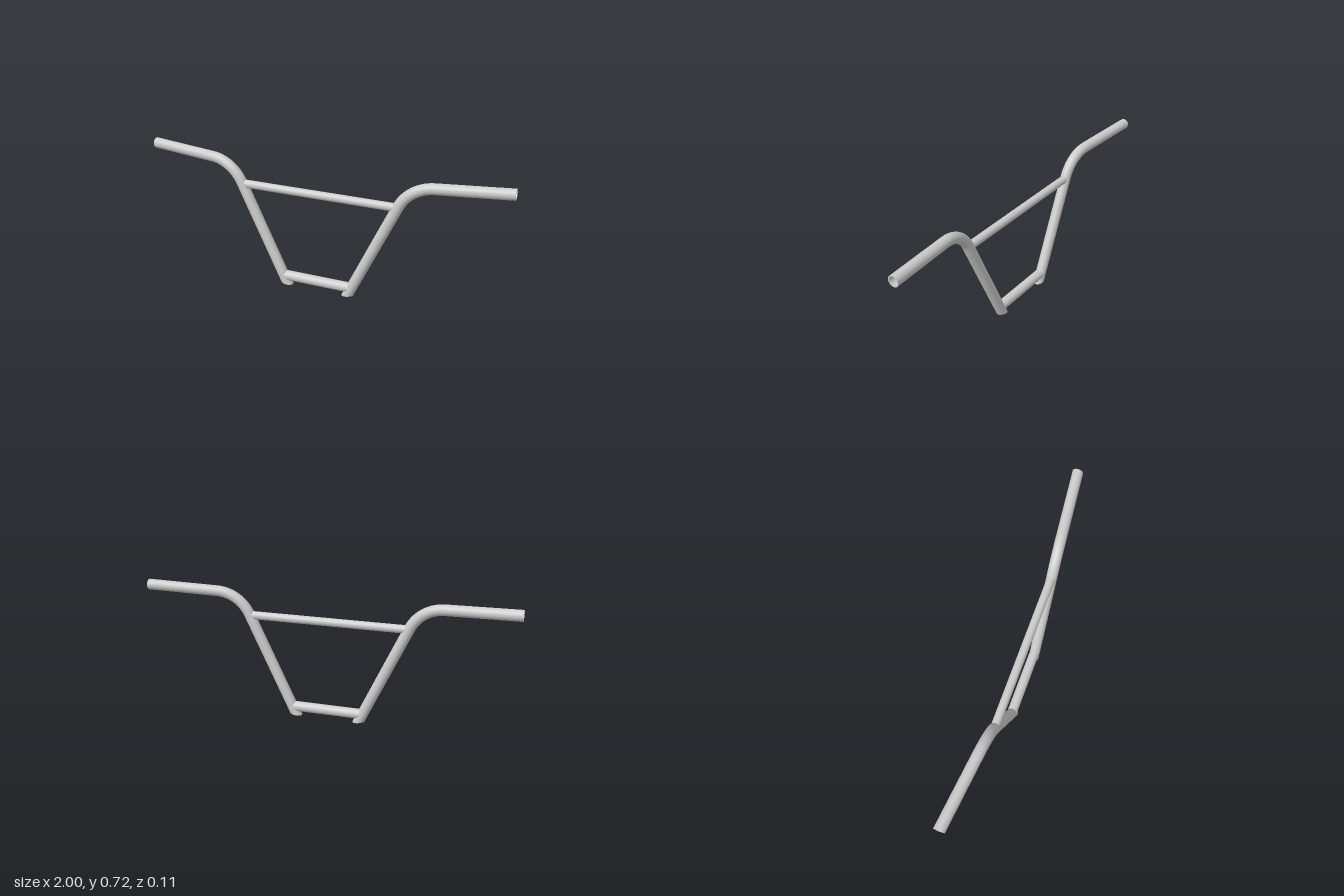
import * as THREE from 'three';

const STEPS = 90, SIDES = 32;
const R_OUT = 0.029, R_IN = 0.024;
const LEG_Z = 0.026;

// Slide every vertex of one ring along the tube axis onto a cutting plane.
function cutEnd(geometry, ring, axis, plane) {
  const pos = geometry.attributes.position, p = new THREE.Vector3();
  for (let j = 0; j <= SIDES; j++) {
    const i = ring * (SIDES + 1) + j;
    p.fromBufferAttribute(pos, i);
    p.addScaledVector(axis, -plane.distanceToPoint(p) / plane.normal.dot(axis));
    pos.setXYZ(i, p.x, p.y, p.z);
  }
}

function ringOf(geometry, ring) {
  const pos = geometry.attributes.position;
  return Array.from({ length: SIDES + 1 }, (_, j) =>
    new THREE.Vector3().fromBufferAttribute(pos, ring * (SIDES + 1) + j));
}

// Flat band joining two rings; flip turns its face around.
function band(a, b, flip) {
  const points = [];
  for (let j = 0; j < SIDES; j++) {
    const quad = [a[j], b[j], b[j + 1], a[j], b[j + 1], a[j + 1]];
    points.push(...(flip ? quad.reverse() : quad));
  }
  const geometry = new THREE.BufferGeometry().setFromPoints(points);
  geometry.computeVertexNormals();
  return geometry;
}

// Leg, bend and grip follow one path; s = 1 is the left side, -1 the right.
function sidePath(s) {
  const foot = new THREE.Vector3(s * 0.179, 0.008, LEG_Z);
  const corner = new THREE.Vector3(s * 0.492, 0.675, LEG_Z);
  const tip = new THREE.Vector3(s, 0.698, -0.026);
  const legDir = corner.clone().sub(foot).normalize();
  const gripDir = tip.clone().sub(corner).normalize();
  const reach = 0.125, handle = reach * (1 - 0.615);
  const a = corner.clone().addScaledVector(legDir, -reach);
  const b = corner.clone().addScaledVector(gripDir, reach);
  const path = new THREE.CurvePath();
  path.add(new THREE.LineCurve3(foot, a));
  path.add(new THREE.CubicBezierCurve3(a,
    corner.clone().addScaledVector(legDir, -handle),
    corner.clone().addScaledVector(gripDir, handle), b));
  path.add(new THREE.LineCurve3(b, tip));
  return { path, foot, tip, legDir, gripDir };
}

function sideTube(s, material, insideMaterial) {
  const { path, foot, tip, legDir, gripDir } = sidePath(s);
  const footPlane = new THREE.Plane().setFromNormalAndCoplanarPoint(
    new THREE.Vector3(s * 0.13, -1, 0).normalize(), foot);
  const tipPlane = new THREE.Plane().setFromNormalAndCoplanarPoint(new THREE.Vector3(s, 0, 0), tip);
  const [outer, inner] = [R_OUT, R_IN].map((radius) => {
    const tube = new THREE.TubeGeometry(path, STEPS, radius, SIDES, false);
    cutEnd(tube, 0, legDir, footPlane);
    cutEnd(tube, STEPS, gripDir, tipPlane);
    return tube;
  });
  const center = Array(SIDES + 1).fill(foot);

  const group = new THREE.Group();
  group.name = s > 0 ? 'leftSide' : 'rightSide';
  const add = (name, geometry, mat) => {
    const mesh = new THREE.Mesh(geometry, mat);
    mesh.name = name;
    group.add(mesh);
  };
  add('legAndGrip', outer, material);
  add('bore', inner, insideMaterial);
  add('gripRim', band(ringOf(outer, STEPS), ringOf(inner, STEPS), false), insideMaterial);
  add('footCap', band(ringOf(outer, 0), center, true), insideMaterial);
  return group;
}

// Horizontal tube between the two legs.
function bar(name, y, radius, halfLength, material) {
  const geometry = new THREE.CylinderGeometry(radius, radius, halfLength * 2, SIDES);
  geometry.rotateZ(Math.PI / 2);
  const mesh = new THREE.Mesh(geometry, material);
  mesh.name = name;
  mesh.position.set(0, y, LEG_Z);
  return mesh;
}

export function createModel() {
  const material = new THREE.MeshStandardMaterial({ color: 0xcccccc });
  const insideMaterial = new THREE.MeshStandardMaterial({ color: 0xcccccc, side: THREE.DoubleSide });
  const model = new THREE.Group();
  model.name = 'handlebar';
  for (const s of [1, -1]) model.add(sideTube(s, material, insideMaterial));
  model.add(bar('crossbar', 0.557, 0.022, 0.43, material));
  model.add(bar('clampBar', 0.052, 0.0275, 0.19, material));
  return model;
}
